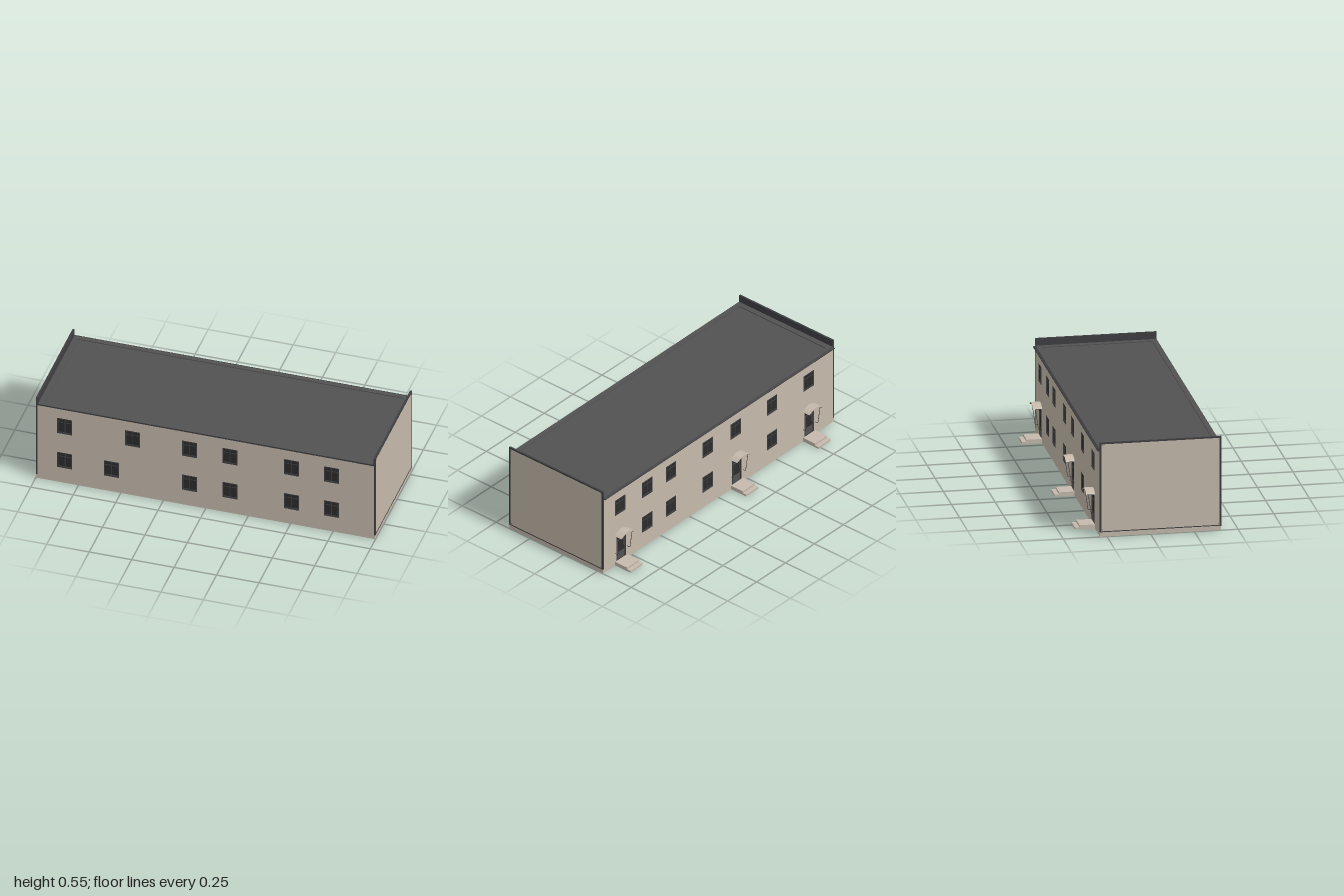
import * as THREE from 'three';

const mat = (name, color, side = THREE.FrontSide) => {
  const m = new THREE.MeshStandardMaterial({ color, side });
  m.name = name;
  return m;
};

export function createModel() {
  const plaster = mat('beige plaster', 0xc5b9ab);
  const roofing = mat('roof grey', 0x525252);
  const trim = mat('dark trim', 0x3f3f42);
  const glass = mat('dark glass', 0x2b2b2b);
  const wood = mat('brown blind', 0x8a5a34);

  const model = new THREE.Group();
  model.name = 'terracedBuilding';

  const add = (parent, name, geo, material, x = 0, y = 0, z = 0) => {
    const m = new THREE.Mesh(geo, material);
    m.name = name;
    m.position.set(x, y, z);
    parent.add(m);
    return m;
  };
  const box = (parent, name, material, x0, x1, y0, y1, z0, z1) =>
    add(parent, name, new THREE.BoxGeometry(x1 - x0, y1 - y0, z1 - z0), material,
      (x0 + x1) / 2, (y0 + y1) / 2, (z0 + z1) / 2);
  const rect = (T, x0, x1, y0, y1) => new T([[x0, y0], [x1, y0], [x1, y1], [x0, y1]]
    .map(p => new THREE.Vector2(...p)));
  const extrude = (shape, depth) => new THREE.ExtrudeGeometry(shape, { depth, bevelEnabled: false, curveSegments: 12 });

  const FRONT = 0.403, BACK = -0.289, EAVE = 0.507, THICK = 0.008;
  const WW = 0.088, WH = 0.1;

  // Window in local facade space, outer wall face at z = 0
  function addWindow(parent, x, y, blind) {
    const g = new THREE.Group();
    g.name = 'window';
    g.position.set(x, y, 0);
    parent.add(g);
    const w = WW / 2, h = WH / 2, t = 0.006;
    const ring = rect(THREE.Shape, -w, w, -h, h);
    ring.holes.push(rect(THREE.Path, -w + t, w - t, -h + t, h - t));
    add(g, 'windowFrame', extrude(ring, 0.006), trim, 0, 0, -0.005);
    box(g, 'windowPane', glass, -w, w, -h, h, -0.005, -0.003);
    box(g, 'windowBlind', blind, -w, w, -h, h, -0.0075, -0.0055);
    box(g, 'mullion', trim, -0.002, 0.002, -h, h, -0.003, -0.0005);
    box(g, 'transom', trim, -w, w, h * 0.4, h * 0.4 + 0.004, -0.003, -0.0005);
    box(g, 'windowSill', trim, -w, w, -h - 0.003, -h, -0.002, 0.002);
  }

  // Entrance with door, steps, arched canopy and brackets
  function addEntrance(parent, x) {
    const g = new THREE.Group();
    g.name = 'entrance';
    g.position.x = x;
    parent.add(g);
    const frame = rect(THREE.Shape, -0.04, 0.04, 0.025, 0.19);
    frame.holes.push(rect(THREE.Path, -0.034, 0.034, 0.027, 0.184));
    add(g, 'doorFrame', extrude(frame, 0.006), trim, 0, 0, -0.005);
    box(g, 'doorLeaf', roofing, -0.04, 0.04, 0.025, 0.19, -0.0075, -0.004);
    box(g, 'doorGlass', glass, -0.024, 0.024, 0.075, 0.15, -0.004, -0.002);
    box(g, 'fanlight', glass, -0.03, 0.03, 0.16, 0.181, -0.004, -0.002);
    box(g, 'doorHandle', trim, 0.026, 0.03, 0.08, 0.1, -0.004, 0.002);
    box(g, 'landing', plaster, -0.052, 0.052, 0, 0.024, 0, 0.088);
    box(g, 'lowerStep', plaster, -0.052, 0.052, 0, 0.012, 0.088, 0.114);

    // Canopy: a thin arched shell
    const arch = new THREE.Shape();
    arch.moveTo(-0.058, 0.203);
    arch.quadraticCurveTo(0, 0.248, 0.058, 0.203);
    arch.lineTo(0.051, 0.203);
    arch.quadraticCurveTo(0, 0.236, -0.051, 0.203);
    arch.closePath();
    add(g, 'canopy', extrude(arch, 0.051), plaster);

    for (const s of [-1, 1]) {
      const path = new THREE.CurvePath();
      const pts = [[0.2, 0.037], [0.08, 0.02], [0.08, 0]].map(([y, z]) => new THREE.Vector3(s * 0.052, y, z));
      path.add(new THREE.LineCurve3(pts[0], pts[1]));
      path.add(new THREE.LineCurve3(pts[1], pts[2]));
      add(g, 'canopyBracket', new THREE.TubeGeometry(path, 16, 0.0016, 5), trim);
      box(g, 'canopyRail', trim, s * 0.052 - 0.0016, s * 0.052 + 0.0016, 0.2, 0.204, 0, 0.05);
    }
  }

  // Long facade with openings; x is along the wall, outside is +z
  function addFacade(name, windows, doors) {
    const g = new THREE.Group();
    g.name = name;
    model.add(g);
    const shape = rect(THREE.Shape, -0.993, 0.993, 0, EAVE - 0.004);
    for (const [x, y] of windows)
      shape.holes.push(rect(THREE.Path, x - WW / 2, x + WW / 2, y - WH / 2, y + WH / 2));
    for (const x of doors)
      shape.holes.push(rect(THREE.Path, x - 0.04, x + 0.04, 0.025, 0.19));
    add(g, 'longWall', extrude(shape, THICK), plaster, 0, 0, -THICK);
    for (const [x, y, blind] of windows) addWindow(g, x, y, blind || roofing);
    for (const x of doors) addEntrance(g, x);
    return g;
  }

  const UP = 0.39, LOW = 0.155;
  const front = addFacade('frontFacade', [
    [-0.83, UP], [-0.43, UP], [-0.095, UP, wood], [0.143, UP], [0.505, UP, plaster], [0.74, UP],
    [-0.83, LOW, plaster], [-0.555, LOW], [-0.095, LOW, wood], [0.143, LOW], [0.505, LOW, plaster], [0.74, LOW],
  ], []);
  front.position.z = FRONT;

  const backX = { up: [0.85, 0.615, 0.41, 0.093, -0.15, -0.464, -0.78], low: [0.615, 0.41, 0.093, -0.464] };
  const back = addFacade('backFacade',
    [...backX.up.map(x => [-x, UP]), ...backX.low.map(x => [-x, LOW])],
    [0.84, -0.16, -0.785].map(x => -x));
  back.rotation.y = Math.PI;
  back.position.z = BACK;

  // Flat roof with a low rim, and eaves along both long sides
  box(model, 'roofSlab', roofing, -0.993, 0.993, EAVE - 0.008, EAVE, BACK, FRONT);
  const rim = rect(THREE.Shape, -0.993, 0.993, -FRONT, -BACK);
  rim.holes.push(rect(THREE.Path, -0.955, 0.955, -0.373, 0.262));
  add(model, 'roofRim', extrude(rim, 0.005), roofing, 0, EAVE, 0).rotation.x = -Math.PI / 2;
  box(model, 'frontEave', trim, -0.993, 0.993, 0.503, 0.511, FRONT - 0.002, FRONT + 0.001);
  const lip = new THREE.Shape([[0, 0.5], [0.013, 0.502], [0.013, 0.506], [0, 0.511]].map(p => new THREE.Vector2(...p)));
  const gutter = add(model, 'backGutter', extrude(lip, 1.986), trim, -0.993, 0, BACK);
  gutter.rotation.y = Math.PI / 2;

  // End walls rising above the roof, framed in dark trim
  for (const s of [-1, 1]) {
    const g = new THREE.Group();
    g.name = s > 0 ? 'leftEnd' : 'rightEnd';
    model.add(g);
    const slab = (name, m, xa, xb, y0, y1, z0, z1) =>
      box(g, name, m, Math.min(s * xa, s * xb), Math.max(s * xa, s * xb), y0, y1, z0, z1);
    slab('endWall', plaster, 0.992, 0.998, 0, 0.545, BACK, FRONT);
    slab('parapetLining', trim, 0.988, 0.992, EAVE, 0.553, BACK, FRONT);
    slab('endCoping', trim, 0.99, 1, 0.545, 0.554, BACK - 0.001, FRONT + 0.001);
    slab('frontCornerTrim', trim, 0.992, 1, 0.026, 0.545, FRONT - 0.009, FRONT + 0.001);
    slab('backCornerTrim', trim, 0.992, 1, 0.026, 0.545, BACK - 0.001, BACK + 0.009);
    slab('baseTrim', trim, 0.997, 1, 0.027, 0.032, BACK + 0.009, FRONT - 0.009);
    // Fixing bolts near the corners
    for (const y of [0.04, 0.537]) for (const z of [BACK + 0.014, FRONT - 0.016])
      add(g, 'bolt', new THREE.CylinderGeometry(0.002, 0.002, 0.003, 8), trim, s * 0.9985, y, z).rotation.z = Math.PI / 2;
  }
  return model;
}
